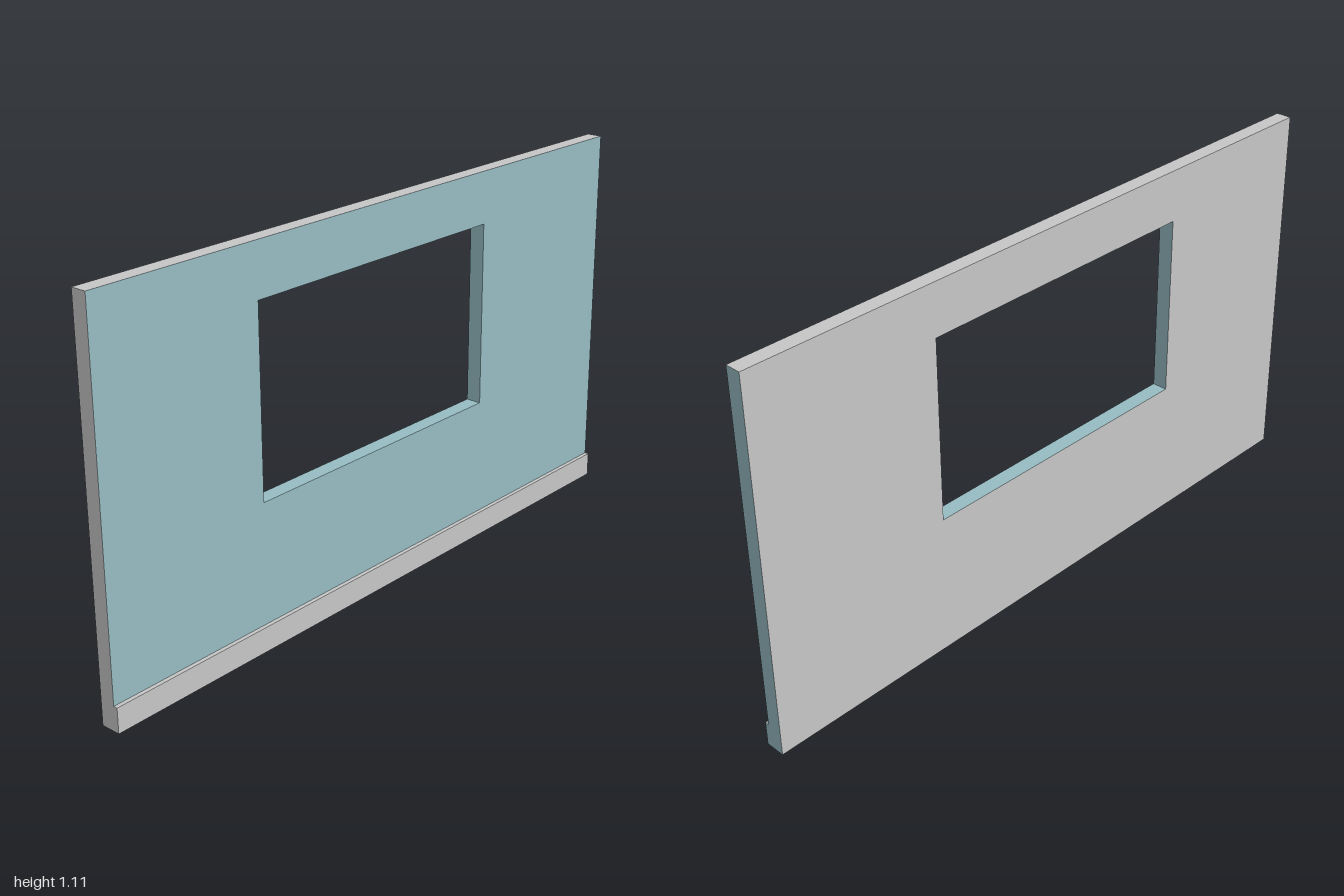
import * as THREE from 'three';

const HEIGHT = 1.11, BACK = -0.029, FACE = 0.017, FRONT = 0.029;

function rect(Type, x0, x1, y0, y1) {
  const p = new Type();
  p.moveTo(x0, y0);
  p.lineTo(x1, y0);
  p.lineTo(x1, y1);
  p.lineTo(x0, y1);
  p.closePath();
  return p;
}

// Split a non-indexed geometry into material groups by a rule on each triangle's normal and corner
function groupFaces(geometry, rule) {
  const { position, normal } = geometry.attributes;
  const n = new THREE.Vector3(), p = new THREE.Vector3();
  geometry.clearGroups();
  for (let i = 0; i < position.count; i += 3) {
    n.fromBufferAttribute(normal, i);
    p.fromBufferAttribute(position, i);
    geometry.addGroup(i, 3, rule(n, p));
  }
  return geometry;
}

export function createModel() {
  const model = new THREE.Group();
  model.name = 'windowWall';

  const paint = new THREE.MeshStandardMaterial({ color: 0x99bfc6 });
  paint.name = 'tealPaint';
  const plain = new THREE.MeshStandardMaterial({ color: 0xc9c9c9 });
  plain.name = 'plainGrey';

  // Wall panel with a window opening
  const outline = rect(THREE.Shape, -1, 1, 0, HEIGHT);
  outline.holes.push(rect(THREE.Path, -0.475, 0.424, 0.42, 0.958));
  const panel = new THREE.ExtrudeGeometry(outline, { depth: FACE - BACK, bevelEnabled: false });
  panel.translate(0, 0, BACK);

  // Grey on the back, top, bottom and -x end; teal on the front, +x end and window reveals
  groupFaces(panel, (n, p) => {
    const back = n.z < -0.5;
    const topOrBottom = Math.abs(n.y) > 0.5 && (p.y < 0.01 || p.y > HEIGHT - 0.01);
    const end = n.x < -0.5 && p.x < -0.99;
    return back || topOrBottom || end ? 1 : 0;
  });
  const wall = new THREE.Mesh(panel, [paint, plain]);
  wall.name = 'wall';
  model.add(wall);

  // Skirting board along the foot of the front, painted on its +x end only
  const board = new THREE.BoxGeometry(2, 0.072, FRONT - FACE);
  const skirting = new THREE.Mesh(board, [paint, plain, plain, plain, plain, plain]);
  skirting.name = 'skirtingBoard';
  skirting.position.set(0, 0.036, (FRONT + FACE) / 2);
  model.add(skirting);

  return model;
}
